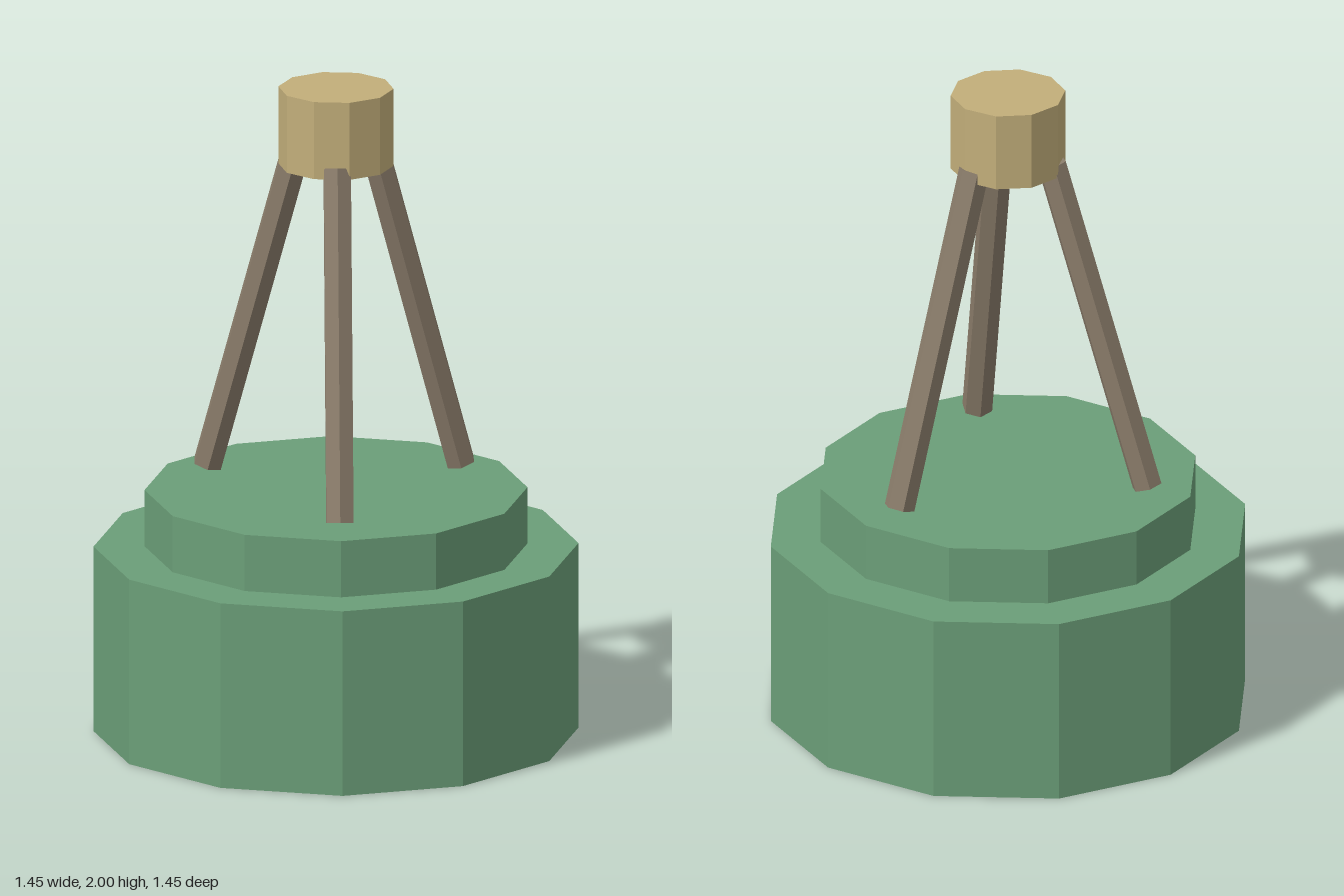
import * as THREE from 'three';

export function createModel() {
  const model = new THREE.Group();
  model.name = 'tripodOnDrum';

  const material = (name, color) => {
    const m = new THREE.MeshStandardMaterial({ color, flatShading: true });
    m.name = name;
    return m;
  };
  const green = material('green', 0x6b9e78);
  const brown = material('greyBrown', 0x8b7d6b);
  const sand = material('sand', 0xc2ae7a);

  // Upright prism standing between two heights
  const prism = (name, radius, bottom, top, sides, mat) => {
    const mesh = new THREE.Mesh(new THREE.CylinderGeometry(radius, radius, top - bottom, sides), mat);
    mesh.position.y = (bottom + top) / 2;
    mesh.name = name;
    model.add(mesh);
    return mesh;
  };

  // Stepped drum base
  prism('drum', 0.727, 0, 0.575, 12, green);
  prism('drumStep', 0.574, 0.575, 0.75, 12, green);

  // Cap, with a corner pointing along x
  prism('cap', 0.173, 1.76, 2, 10, sand).rotation.y = Math.PI / 10;

  // Three leaning legs, one along +x and two behind it
  const foot = new THREE.Vector2(0.438, 0.768);
  const head = new THREE.Vector2(0.137, 1.787);
  const span = head.clone().sub(foot);
  const legGeometry = new THREE.CylinderGeometry(0.047, 0.047, span.length(), 6);
  legGeometry.rotateY(Math.PI / 2);
  legGeometry.rotateZ(Math.atan2(-span.x, span.y));
  legGeometry.translate((foot.x + head.x) / 2, (foot.y + head.y) / 2, 0);
  for (let i = 0; i < 3; i++) {
    const leg = new THREE.Mesh(legGeometry, brown);
    leg.rotation.y = (i * Math.PI * 2) / 3;
    leg.name = `leg${i + 1}`;
    model.add(leg);
  }

  return model;
}
